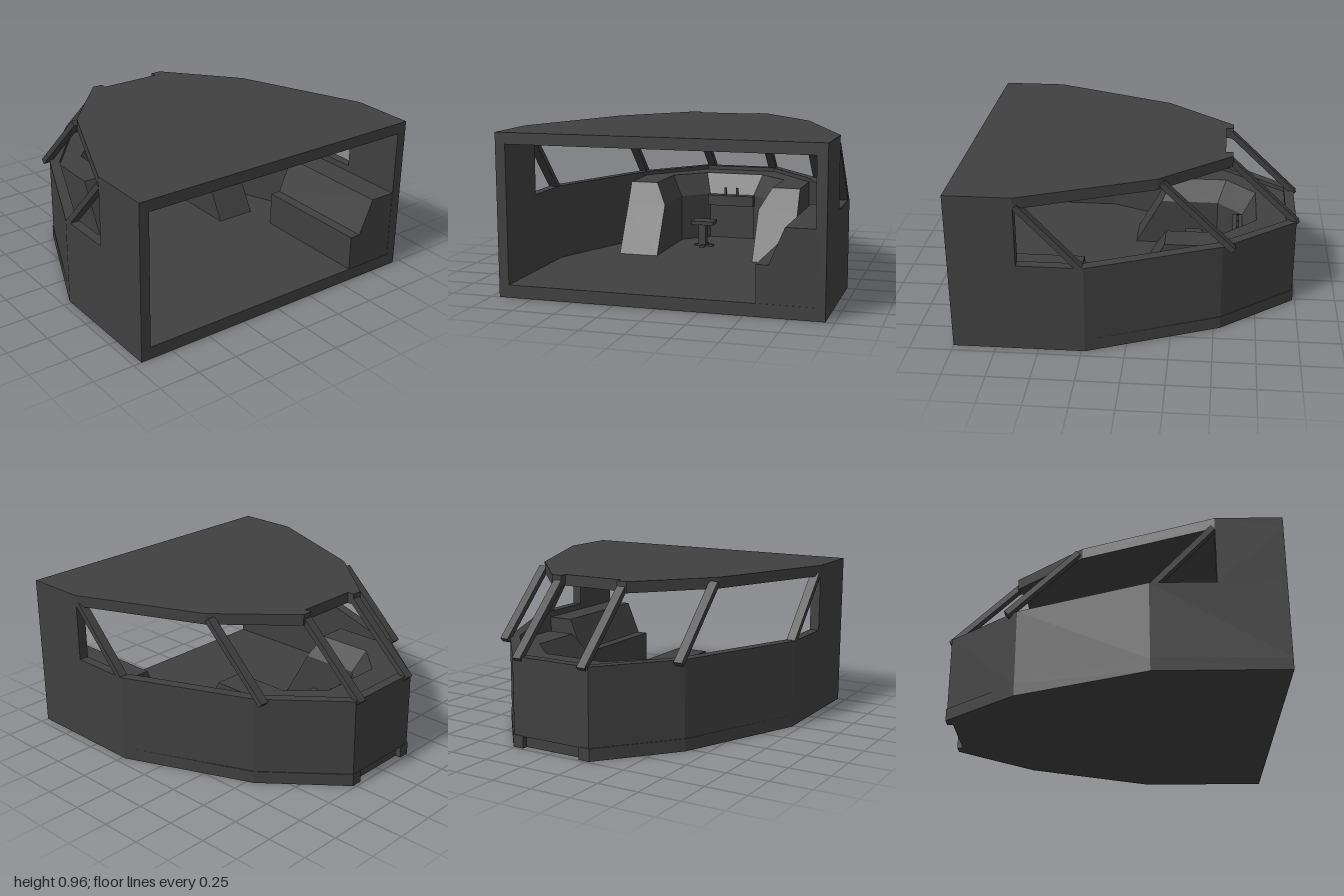
import * as THREE from 'three';

export function createModel() {
  const root = new THREE.Group();
  const grey = new THREE.MeshStandardMaterial({ color: 0x404040, flatShading: true, side: THREE.DoubleSide });
  grey.name = 'dark grey';

  const add = (name, geometry, x = 0, y = 0, z = 0) => {
    const mesh = new THREE.Mesh(geometry, grey);
    mesh.name = name;
    mesh.position.set(x, y, z);
    root.add(mesh);
    return mesh;
  };
  const box = (name, w, h, d, x, y, z) => add(name, new THREE.BoxGeometry(w, h, d), x, y, z);

  // Mirrors a half outline of [x, z] points across x = 0
  const mirrored = (half) => [...half, ...half.map(([x, z]) => [-x, z]).reverse()];
  const toShape = (pts) => new THREE.Shape(pts.map(([x, z]) => new THREE.Vector2(x, -z)));

  // Horizontal slab with the given plan, from y0 to y1
  const slab = (name, pts, y0, y1) => {
    const geo = new THREE.ExtrudeGeometry(toShape(pts), { depth: y1 - y0, bevelEnabled: false });
    return add(name, geo.rotateX(-Math.PI / 2), 0, y0, 0);
  };

  // Floor and roof share a plan with a shallow notch at the nose
  const floorHalf = [[0.95, 1], [0.95, 0.23], [0.63, -0.54], [0.265, -0.985], [0.195, -0.985], [0.195, -0.95]];
  const roofHalf = [[0.95, 1], [0.95, 0.61], [0.63, -0.16], [0.26, -0.584], [0.195, -0.584], [0.195, -0.54]];
  slab('floor', mirrored(floorHalf), 0, 0.075);
  slab('roof', mirrored(roofHalf), 0.89, 0.957);

  // Low hull wall, open at the front
  const outer = mirrored([[0.95, 1], [0.95, 0.23], [0.625, -0.54], [0.26, -0.98]]);
  const inner = mirrored([[0.89, 1], [0.89, 0.25], [0.57, -0.51], [0.24, -0.92]]);
  slab('hullWall', [...outer, ...inner.reverse()], 0.07, 0.54);

  for (const s of [-1, 1]) {
    box('sideWall', 0.06, 0.37, 0.39, s * 0.92, 0.715, 0.805);
  }

  // Slanted window pillars: [x, top z, top y, bottom z, bottom y]
  const pillars = [
    [0.2225, -0.572, 0.915, -0.986, 0.522],
    [0.615, -0.185, 0.925, -0.602, 0.522],
    [0.922, 0.6, 0.9, 0.25, 0.53],
  ];
  for (const [x, z0, y0, z1, y1] of pillars) {
    for (const s of [-1, 1]) {
      const dz = z1 - z0, dy = y1 - y0;
      const bar = box('windowPillar', 0.055, Math.hypot(dz, dy), 0.034, s * x, (y0 + y1) / 2, (z0 + z1) / 2);
      bar.rotation.x = Math.atan2(dz, dy);
    }
  }

  // Wraparound console lofted through three horizontal sections
  const outside = [[0.24, -0.92], [0.57, -0.51]];
  const ring = (frontZ, armX, armZ, midX, midZ) => mirrored([
    ...outside, [0.57, frontZ], [armX, frontZ], [armX, armZ], [midX, midZ],
  ]);
  // The half outline runs outside to inside, so each half is its own strip
  const levels = [
    [0.075, ring(0.04, 0.315, -0.5, 0.155, -0.66)],
    [0.38, ring(-0.13, 0.315, -0.5, 0.155, -0.66)],
    [0.515, ring(-0.2, 0.39, -0.55, 0.2, -0.74)],
  ];
  const positions = [];
  for (let l = 0; l < 2; l++) {
    const [ya, a] = levels[l], [yb, b] = levels[l + 1];
    for (let i = 0; i < a.length; i++) {
      const j = (i + 1) % a.length;
      const p = [a[i][0], ya, a[i][1]], q = [a[j][0], ya, a[j][1]];
      const r = [b[j][0], yb, b[j][1]], t = [b[i][0], yb, b[i][1]];
      positions.push(...p, ...q, ...r, ...p, ...r, ...t);
    }
  }
  const sides = new THREE.BufferGeometry();
  sides.setAttribute('position', new THREE.Float32BufferAttribute(positions, 3));
  sides.computeVertexNormals();
  add('consoleSides', sides);
  add('consoleTop', new THREE.ShapeGeometry(toShape(levels[2][1])).rotateX(-Math.PI / 2), 0, 0.515, 0);

  // Control shelf and its two levers
  box('controlShelf', 0.32, 0.07, 0.07, 0.005, 0.345, -0.63);
  for (const x of [-0.035, 0.047]) box('lever', 0.014, 0.055, 0.014, x, 0.405, -0.63);

  // Stepped cabinet along the left wall
  const step = new THREE.Shape([[0.567, 0.075], [0.567, 0.29], [0.635, 0.29], [0.725, 0.5], [0.9, 0.5], [0.9, 0.075]]
    .map(([x, y]) => new THREE.Vector2(x, y)));
  add('sideCabinet', new THREE.ExtrudeGeometry(step, { depth: 0.748, bevelEnabled: false }), 0, 0, 0.25);

  // Helm stool
  const sx = -0.11, sz = -0.35;
  box('stoolSeat', 0.15, 0.025, 0.11, sx, 0.237, sz);
  box('stoolPost', 0.05, 0.15, 0.05, sx - 0.01, 0.15, sz);
  box('stoolFoot', 0.13, 0.012, 0.03, sx, 0.081, sz);
  box('stoolFoot', 0.03, 0.012, 0.13, sx, 0.081, sz);

  return root;
}
